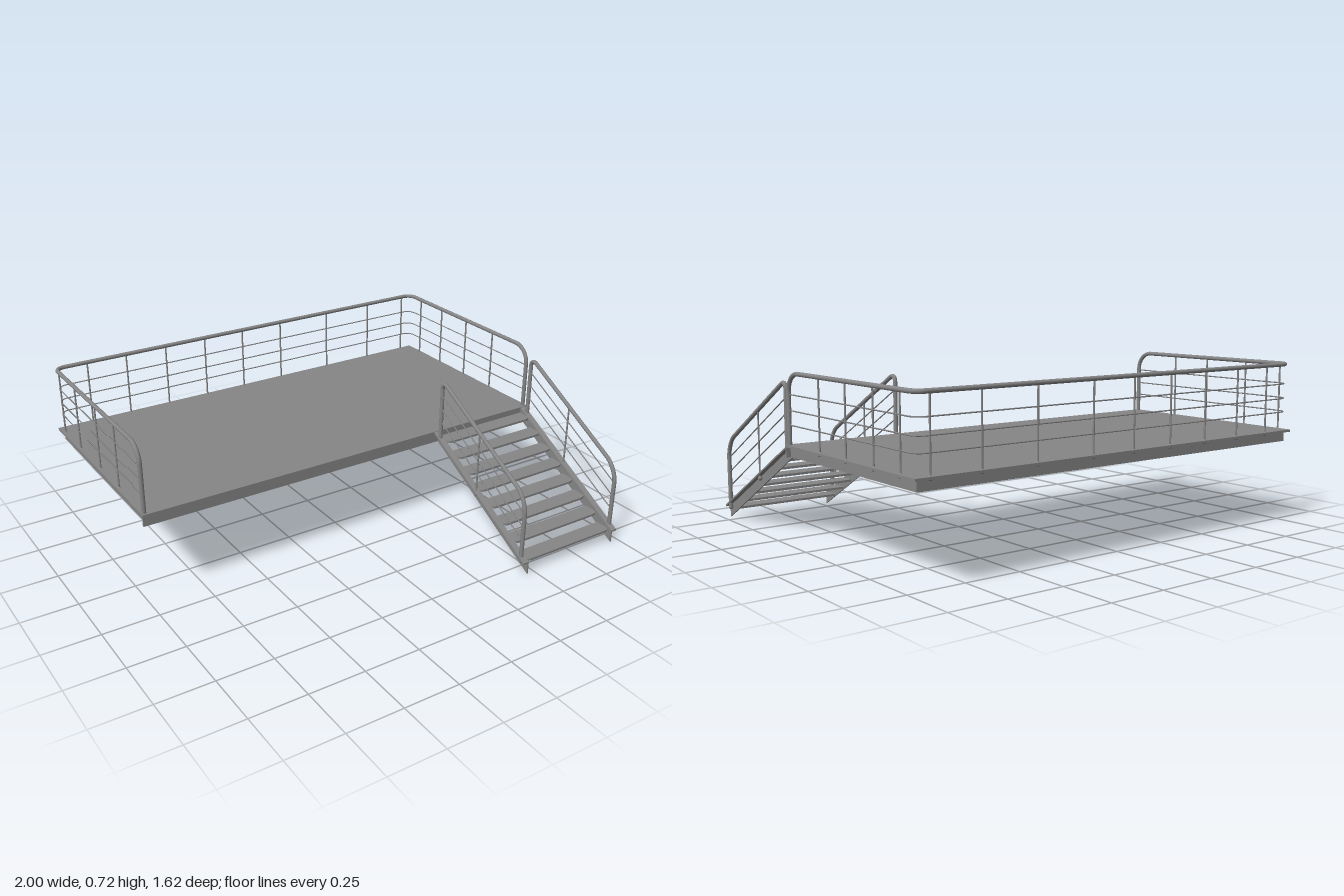
import * as THREE from 'three';

const material = new THREE.MeshStandardMaterial({ color: 0x868686, side: THREE.DoubleSide });
const V = (x, y, z) => new THREE.Vector3(x, y, z);

// Polyline curve whose parameter steps evenly from point to point
class Polyline extends THREE.Curve {
  constructor(points) { super(); this.points = points; }
  getUtoTmapping(u) { return u; }
  getPoint(t, target = new THREE.Vector3()) {
    const n = this.points.length - 1, f = t * n;
    const i = Math.min(Math.floor(f), n - 1);
    return target.lerpVectors(this.points[i], this.points[i + 1], f - i);
  }
}

function add(parent, name, geometry, x = 0, y = 0, z = 0) {
  const mesh = new THREE.Mesh(geometry, material);
  mesh.name = name;
  mesh.position.set(x, y, z);
  parent.add(mesh);
}

function box(parent, name, x0, x1, y0, y1, z0, z1) {
  add(parent, name, new THREE.BoxGeometry(x1 - x0, y1 - y0, z1 - z0),
    (x0 + x1) / 2, (y0 + y1) / 2, (z0 + z1) / 2);
}

// Bent pipe through corner points, each inner corner rounded by its radius
function pipe(parent, name, corners, radii, r, sides = 10) {
  const points = [corners[0]];
  for (let i = 1; i < corners.length - 1; i++) {
    const c = corners[i], d = radii[i - 1];
    const a = corners[i - 1].clone().sub(c).setLength(d).add(c);
    const b = corners[i + 1].clone().sub(c).setLength(d).add(c);
    // rational weighting keeps the bend close to a circular arc
    for (let k = 0; k <= 8; k++) {
      const t = k / 8, w0 = (1 - t) ** 2, w1 = 1.414 * t * (1 - t), w2 = t * t;
      points.push(a.clone().multiplyScalar(w0).addScaledVector(c, w1)
        .addScaledVector(b, w2).divideScalar(w0 + w1 + w2));
    }
  }
  points.push(corners[corners.length - 1]);
  add(parent, name, new THREE.TubeGeometry(new Polyline(points), points.length - 1, r, sides));
}

const footGeometry = new THREE.SphereGeometry(0.01, 12, 8);
function foot(parent, x, y, z) { add(parent, 'railFoot', footGeometry, x, y, z); }

function post(parent, x, z, y0, y1) {
  add(parent, 'railPost', new THREE.CylinderGeometry(0.004, 0.004, y1 - y0, 8), x, (y0 + y1) / 2, z);
  foot(parent, x, y0, z);
}

function buildDeck() {
  const deck = new THREE.Group();
  deck.name = 'deck';
  box(deck, 'deckPlate', -1, 1, 0.408, 0.418, -0.81, 0.157);
  box(deck, 'frontBeam', -1, 1, 0.366, 0.408, 0.149, 0.157);
  box(deck, 'backBeam', -0.98, 0.98, 0.366, 0.408, -0.79, -0.782);
  for (const s of [-1, 1]) {
    const x = s * 0.976;
    box(deck, 'sideBeam', x - 0.004, x + 0.004, 0.366, 0.408, -0.79, 0.149);
  }
  // Joists under the plate
  for (let i = 1; i < 7; i++) {
    const x = -0.976 + i * 1.952 / 7;
    box(deck, 'joist', x - 0.004, x + 0.004, 0.385, 0.408, -0.782, 0.149);
  }
  return deck;
}

function buildDeckRailing() {
  const rail = new THREE.Group();
  rail.name = 'deckRailing';
  const X = 0.987, front = 0.14, back = -0.8, base = 0.412, top = 0.712;
  pipe(rail, 'handrail', [
    V(-X, base, front), V(-X, top, front), V(-X, top, back),
    V(X, top, back), V(X, top, front), V(X, base, front),
  ], [0.08, 0.045, 0.045, 0.08], 0.0095);
  for (const y of [0.5, 0.56, 0.625]) {
    pipe(rail, 'midRail', [V(-X, y, front), V(-X, y, back), V(X, y, back), V(X, y, front)],
      [0.045, 0.045], 0.0028, 6);
  }
  for (const s of [-1, 1]) foot(rail, s * X, base, front);
  for (const z of [-0.115, -0.32, -0.52, -0.7]) post(rail, X, z, base, top);
  for (const z of [-0.115, -0.32, -0.555, -0.75]) post(rail, -X, z, base, top);
  for (const x of [-0.835, -0.645, -0.445, -0.24, -0.035, 0.18, 0.455, 0.71, 0.93]) {
    post(rail, x, back, base, top);
  }
  return rail;
}

// Sloped plate drawn as a (z, y) outline and given a width along x
function slopedPlate(parent, name, outline, x0, x1) {
  const shape = new THREE.Shape(outline.map(([z, y]) => new THREE.Vector2(-z, y)));
  const g = new THREE.ExtrudeGeometry(shape, { depth: x1 - x0, bevelEnabled: false });
  g.rotateY(Math.PI / 2);
  add(parent, name, g, x0);
}

function buildStairs() {
  const stairs = new THREE.Group();
  stairs.name = 'stairs';
  const web = [[0.815, 0], [0.815, 0.058], [0.16, 0.418], [0.16, 0.365]];
  const flange = [[0.815, 0.05], [0.815, 0.058], [0.16, 0.418], [0.16, 0.41]];
  slopedPlate(stairs, 'stringerWeb', web, 0.461, 0.467);
  slopedPlate(stairs, 'stringerFlange', flange, 0.438, 0.461);
  slopedPlate(stairs, 'stringerWeb', web, 0.957, 0.963);
  slopedPlate(stairs, 'stringerFlange', flange, 0.963, 0.986);

  // Treads with rounded front corners
  const x0 = 0.467, x1 = 0.957, d = 0.077, r = 0.03;
  const shape = new THREE.Shape();
  shape.moveTo(x0, 0);
  shape.lineTo(x0, -d + r);
  shape.quadraticCurveTo(x0, -d, x0 + r, -d);
  shape.lineTo(x1 - r, -d);
  shape.quadraticCurveTo(x1, -d, x1, -d + r);
  shape.lineTo(x1, 0);
  const tread = new THREE.ExtrudeGeometry(shape, { depth: 0.01, bevelEnabled: false, curveSegments: 6 });
  tread.rotateX(-Math.PI / 2);
  for (let i = 0; i < 8; i++) {
    add(stairs, 'tread', tread, 0, 0.05 + i * 0.0472, 0.802 - d - i * 0.0815);
  }

  // Handrail on each stringer
  for (const x of [0.452, 0.975]) {
    const rail = new THREE.Group();
    rail.name = 'stairRailing';
    const low = 0.78, high = 0.188;
    const slopeY = (z, y) => y + (low - z) * 0.555;
    pipe(rail, 'handrail', [
      V(x, 0.052, low), V(x, 0.352, low), V(x, slopeY(high, 0.352), high), V(x, 0.395, high),
    ], [0.07, 0.04], 0.0095);
    for (const y of [0.15, 0.215, 0.28]) {
      pipe(rail, 'midRail', [V(x, y, low), V(x, slopeY(high, y), high)], [], 0.0028, 6);
    }
    post(rail, x, 0.46, 0.232, 0.53);
    foot(rail, x, 0.052, low);
    foot(rail, x, 0.395, high);
    stairs.add(rail);
  }
  return stairs;
}

export function createModel() {
  const model = new THREE.Group();
  model.name = 'raisedPlatform';
  model.add(buildDeck(), buildDeckRailing(), buildStairs());
  return model;
}
